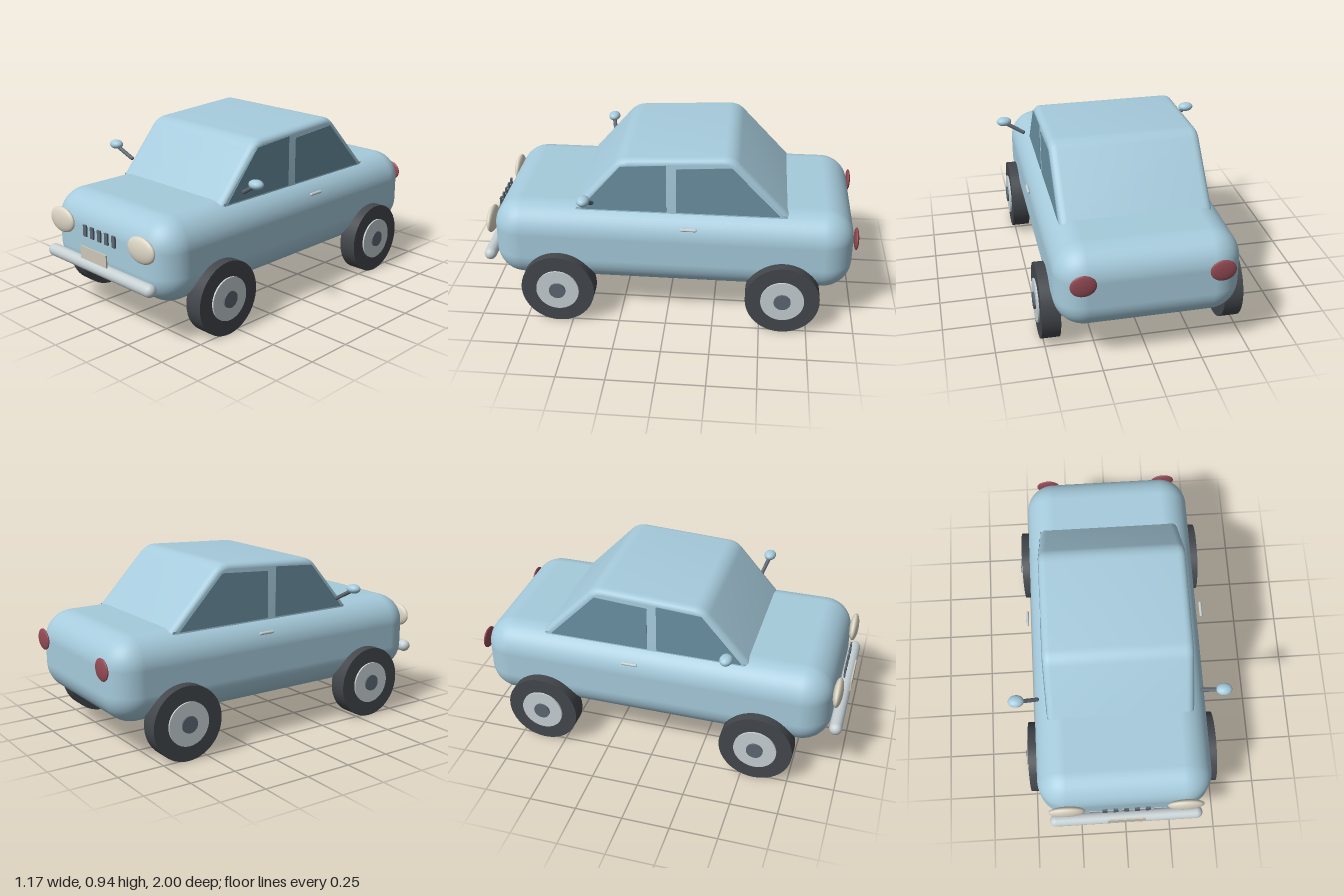
import * as THREE from 'three';
import { toCreasedNormals } from 'three/addons/utils/BufferGeometryUtils.js';
import { RoundedBoxGeometry } from 'three/addons/geometries/RoundedBoxGeometry.js';

const material = (name, color) => {
  const m = new THREE.MeshStandardMaterial({ color });
  m.name = name;
  return m;
};

export function createModel() {
  const paint = material('paleBluePaint', 0xa6cbdc);
  const glass = material('windowGlass', 0x6b91a3);
  const rubber = material('tyreRubber', 0x43474c);
  const chrome = material('chrome', 0xc6d0d3);
  const darkMetal = material('darkMetal', 0x5c6772);
  const lamp = material('headlampCream', 0xdad4c3);
  const plateColor = material('plateBeige', 0xcdc7b7);
  const red = material('tailLampRed', 0x934a54);

  const car = new THREE.Group();
  car.name = 'car';

  const add = (name, geometry, mat, x = 0, y = 0, z = 0, parent = car) => {
    const mesh = new THREE.Mesh(geometry, mat);
    mesh.name = name;
    mesh.position.set(x, y, z);
    parent.add(mesh);
    return mesh;
  };
  const ellipsoid = (rx, ry, rz) => new THREE.SphereGeometry(1, 40, 24).scale(rx, ry, rz);

  // Closed side profile of [z, y] points with rounded corners
  const sideShape = (points, radius) => {
    const shape = new THREE.Shape();
    const v = points.map(p => new THREE.Vector2(...p));
    v.forEach((p, i) => {
      const toward = q => p.clone().add(q.clone().sub(p).setLength(radius));
      const a = toward(v[(i + v.length - 1) % v.length]);
      const b = toward(v[(i + 1) % v.length]);
      if (i === 0) shape.moveTo(a.x, a.y);
      else shape.lineTo(a.x, a.y);
      shape.quadraticCurveTo(p.x, p.y, b.x, b.y);
    });
    shape.closePath();
    return shape;
  };
  // Extrude a side profile across the car, centred on x = 0
  const across = (shape, width, bevel = 0) => {
    const geo = new THREE.ExtrudeGeometry(shape, {
      depth: width - 2 * bevel, curveSegments: 8,
      bevelEnabled: bevel > 0, bevelThickness: bevel, bevelSize: bevel * 0.75,
      bevelOffset: -bevel * 0.75, bevelSegments: 5,
    });
    geo.translate(0, 0, -(width - 2 * bevel) / 2).rotateY(-Math.PI / 2);
    return toCreasedNormals(geo, 0.6);
  };

  // Body shell and cabin
  add('body', new RoundedBoxGeometry(0.93, 0.44, 1.905, 8, 0.155), paint, 0, 0.418, -0.022);
  const cabin = sideShape([[0.515, 0.6], [0.245, 0.912], [-0.335, 0.94], [-0.658, 0.6]], 0.05);
  add('cabin', across(cabin, 0.78, 0.04), paint);

  // Side windows
  const frontPane = sideShape([[0.455, 0.624], [0.24, 0.876], [0.003, 0.892], [0.003, 0.624]], 0.006);
  const rearPane = sideShape([[-0.047, 0.624], [-0.047, 0.874], [-0.33, 0.892], [-0.585, 0.624]], 0.006);

  const mirrorArm = side => new THREE.TubeGeometry(new THREE.LineCurve3(
    new THREE.Vector3(side * 0.437, 0.685, 0.385),
    new THREE.Vector3(side * 0.535, 0.742, 0.408)), 1, 0.011, 12);

  for (const side of [1, -1]) {
    const label = side > 0 ? 'left' : 'right';
    add(label + 'FrontWindow', across(frontPane, 0.008), glass, side * 0.389);
    add(label + 'RearWindow', across(rearPane, 0.008), glass, side * 0.389);

    // Lamps
    add(label + 'Headlamp', ellipsoid(0.097, 0.067, 0.025), lamp, side * 0.314, 0.497, 0.95);
    add(label + 'TailLamp', ellipsoid(0.065, 0.057, 0.013), red, side * 0.34, 0.49, -0.986);

    // Mirror on a stalk, door handle
    add(label + 'MirrorArm', mirrorArm(side), darkMetal);
    add(label + 'MirrorArmCap', new THREE.SphereGeometry(0.011, 12, 8), darkMetal, side * 0.437, 0.685, 0.385);
    add(label + 'Mirror', ellipsoid(0.042, 0.025, 0.033), paint, side * 0.542, 0.751, 0.408);
    add(label + 'DoorHandle', new THREE.CapsuleGeometry(0.008, 0.072, 6, 12).rotateX(Math.PI / 2),
      chrome, side * 0.481, 0.574, -0.118);

    // Wheels: tyre, hub disc and cap
    for (const [end, z] of [['Front', 0.573], ['Rear', -0.616]]) {
      const wheel = new THREE.Group();
      wheel.name = label + end + 'Wheel';
      wheel.position.set(side * 0.47, 0.195, z);
      car.add(wheel);
      const disc = (r, w) => new THREE.CylinderGeometry(r, r, w, 48).rotateZ(Math.PI / 2);
      add('tyre', disc(0.195, 0.096), rubber, 0, 0, 0, wheel);
      add('hubDisc', disc(0.114, 0.02), chrome, side * 0.047, 0, 0, wheel);
      add('hubCap', disc(0.044, 0.02), darkMetal, side * 0.056, 0, 0, wheel);
    }
  }

  // Bumper, number plate and grille slots
  add('bumper', new THREE.CapsuleGeometry(0.033, 0.762, 10, 24).rotateZ(Math.PI / 2), chrome, 0, 0.315, 0.962);
  add('numberPlate', new THREE.BoxGeometry(0.204, 0.066, 0.008), plateColor, 0, 0.391, 0.995);
  for (let i = -2; i <= 2; i++) {
    add('grilleSlot', new THREE.BoxGeometry(0.025, 0.06, 0.009), darkMetal, i * 0.057, 0.487, 0.957);
  }
  return car;
}
